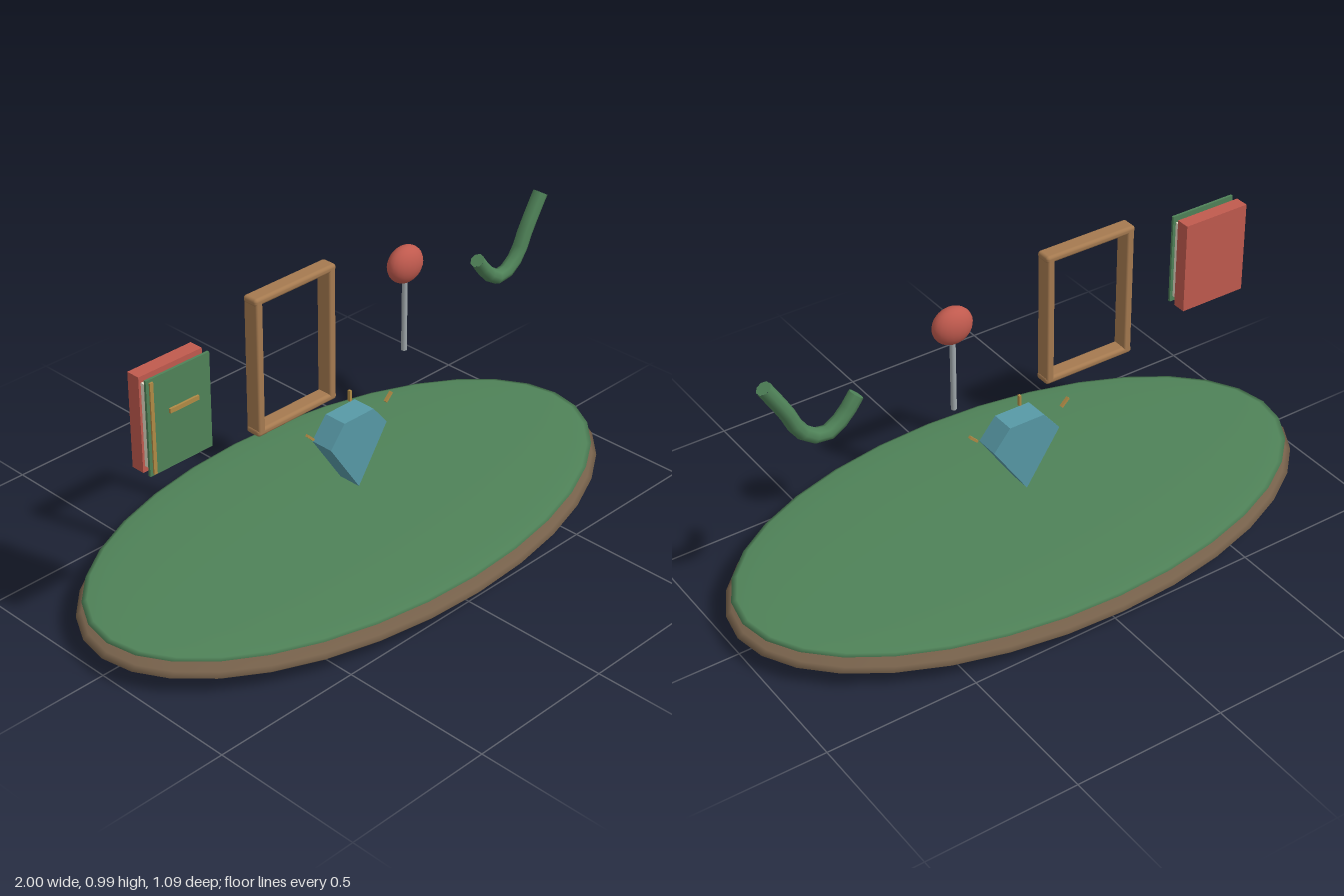
import * as THREE from 'three';
import { RoundedBoxGeometry } from 'three/addons/geometries/RoundedBoxGeometry.js';

const paint = (color) => new THREE.MeshStandardMaterial({ color });
const green = paint(0x4f8258), earth = paint(0x75604a), wood = paint(0xa57a50), red = paint(0xc05a4e);
const blue = paint(0x5799a6), gold = paint(0xb08a45), cream = paint(0xe6dcc8), steel = paint(0xa0a8ac);

export function createModel() {
  const model = new THREE.Group();

  const add = (name, geometry, material, x, y, z = 0, parent = model) => {
    const mesh = new THREE.Mesh(geometry, material);
    mesh.name = name;
    mesh.position.set(x, y, z);
    parent.add(mesh);
    return mesh;
  };
  const box = (w, h, d) => new THREE.BoxGeometry(w, h, d);
  const group = (name) => {
    const g = new THREE.Group();
    g.name = name;
    model.add(g);
    return g;
  };

  // Flattened oval base with a thinner grass layer on top
  add('baseDisc', new THREE.SphereGeometry(1, 32, 16), earth, 0, 0.06).scale.set(1, 0.06, 0.545);
  add('grassDisc', new THREE.SphereGeometry(1, 32, 16), green, 0, 0.105).scale.set(0.98, 0.018, 0.525);

  // Book: back block, pages, front cover, spine strip and clasp
  const book = group('book');
  add('bookBlock', box(0.23, 0.304, 0.045), red, -0.713, 0.767, -0.003, book);
  add('bookPages', box(0.215, 0.265, 0.02), cream, -0.713, 0.767, 0.029, book);
  add('bookCover', box(0.23, 0.304, 0.008), green, -0.713, 0.767, 0.046, book);
  add('bookSpineStrip', box(0.012, 0.29, 0.005), gold, -0.814, 0.767, 0.055, book);
  add('bookClasp', box(0.105, 0.014, 0.007), gold, -0.7, 0.797, 0.055, book);

  // Open picture frame of four softened bars
  const frame = group('pictureFrame');
  for (const y of [0.553, 0.979]) {
    add('frameRail', new RoundedBoxGeometry(0.32, 0.024, 0.054, 3, 0.01), wood, -0.24, y, 0, frame);
  }
  for (const x of [-0.384, -0.096]) {
    add('frameStile', new RoundedBoxGeometry(0.026, 0.44, 0.054, 3, 0.007), wood, x, 0.766, 0, frame);
  }

  // Round-headed pin
  const pin = group('pin');
  add('pinHead', new THREE.SphereGeometry(1, 20, 14), red, 0.235, 0.864, 0, pin).scale.set(0.066, 0.06, 0.042);
  add('pinStem', new THREE.CylinderGeometry(0.009, 0.009, 0.25, 12), steel, 0.235, 0.695, 0, pin);

  // Curved stalk with capped ends
  const stalk = group('curvedStalk');
  const curve = new THREE.CatmullRomCurve3([
    [0.562, 0.755], [0.615, 0.69], [0.675, 0.66], [0.745, 0.7], [0.79, 0.785], [0.853, 0.89],
  ].map(([x, y]) => new THREE.Vector3(x, y, 0)));
  add('stalkTube', new THREE.TubeGeometry(curve, 10, 0.024, 8), green, 0, 0, 0, stalk);
  for (const t of [0, 1]) {
    const p = curve.getPoint(t);
    const outward = curve.getTangent(t).multiplyScalar(t ? 1 : -1);
    const cap = add('stalkCap', new THREE.CircleGeometry(0.024, 8), green, p.x, p.y, 0, stalk);
    cap.quaternion.setFromUnitVectors(new THREE.Vector3(0, 0, 1), outward);
  }

  // Gem: extruded five-sided outline
  const outline = new THREE.Shape([[0, 0.2], [0.12, 0.38], [0.062, 0.45], [-0.062, 0.45], [-0.12, 0.38]]
    .map(([x, y]) => new THREE.Vector2(x, y)));
  add('gem', new THREE.ExtrudeGeometry(outline, { depth: 0.08, bevelEnabled: false }), blue, 0, 0, -0.04);

  // Sparkle rays fanning out above the gem
  for (const [x, y, angle] of [[0, 0.506, 0], [0.168, 0.431, -0.8], [-0.168, 0.431, 0.8]]) {
    add('sparkleRay', box(0.008, 0.036, 0.01), gold, x, y).rotation.z = angle;
  }

  return model;
}
